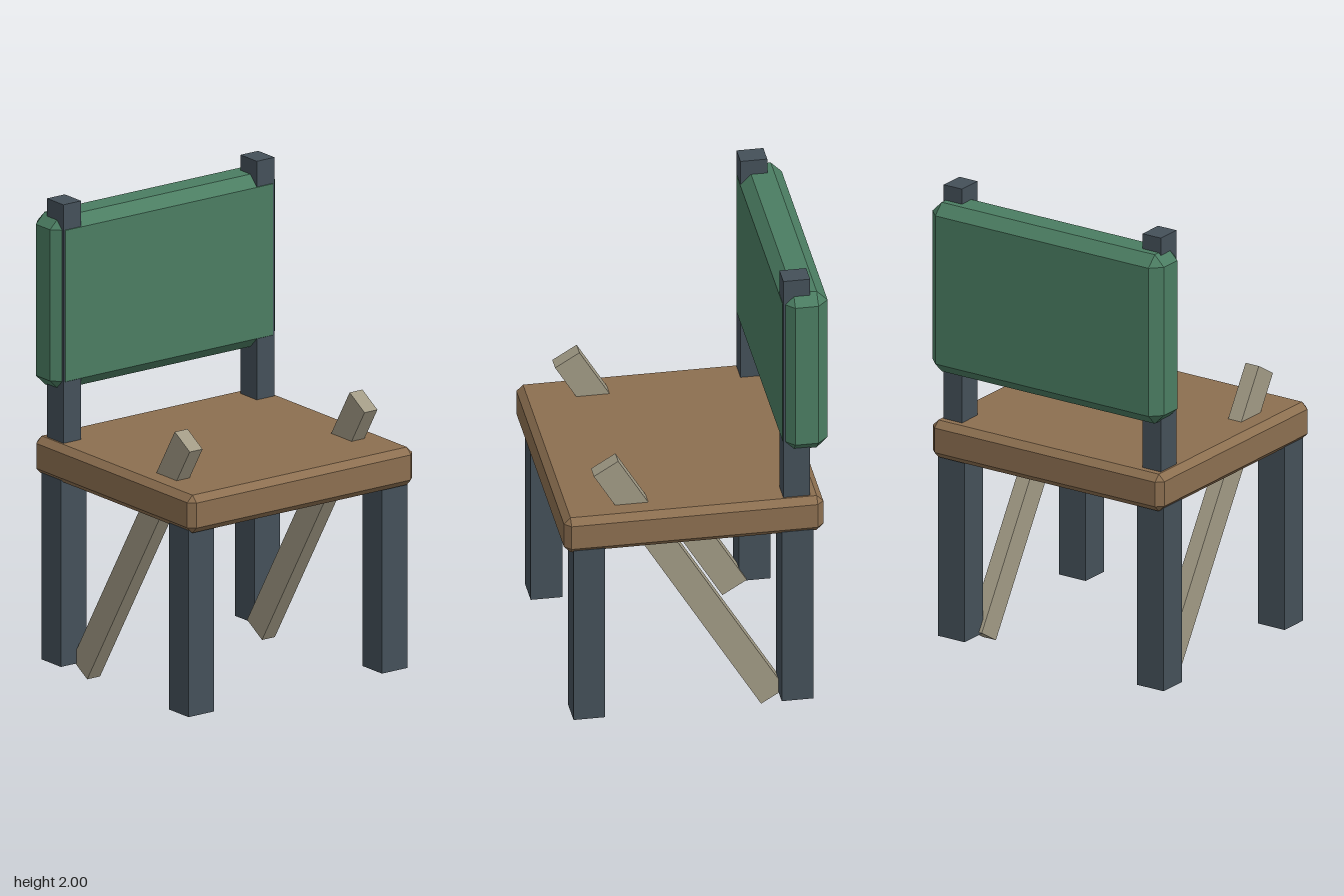
import * as THREE from 'three';
import { ConvexGeometry } from 'three/addons/geometries/ConvexGeometry.js';

const paint = (color) => new THREE.MeshStandardMaterial({ color, flatShading: true });

// Box with flat chamfers of size c on all edges and corners
function chamferBox(w, h, d, c) {
  const points = [];
  for (const sx of [-1, 1]) for (const sy of [-1, 1]) for (const sz of [-1, 1]) {
    for (let axis = 0; axis < 3; axis++) {
      const inset = [c, c, c];
      inset[axis] = 0;
      points.push(new THREE.Vector3(
        sx * (w / 2 - inset[0]), sy * (h / 2 - inset[1]), sz * (d / 2 - inset[2])));
    }
  }
  return new ConvexGeometry(points);
}

export function createModel() {
  const chair = new THREE.Group();
  chair.name = 'chair';
  const wood = paint(0x8c6f50), cushion = paint(0x4b7d62);
  const slate = paint(0x445059), pale = paint(0xa19a85);

  const add = (name, geometry, material, x, y, z) => {
    const mesh = new THREE.Mesh(geometry, material);
    mesh.name = name;
    mesh.position.set(x, y, z);
    chair.add(mesh);
    return mesh;
  };

  // Seat slab and back panel
  add('seat', chamferBox(1.14, 0.16, 1.065, 0.027), wood, 0, 0.91, 0.01);
  add('backrest', chamferBox(1.14, 0.73, 0.185, 0.045), cushion, 0, 1.57, -0.451);

  const leg = new THREE.BoxGeometry(0.13, 0.79, 0.13);
  const post = new THREE.BoxGeometry(0.09, 1.1, 0.11);
  const brace = new THREE.BoxGeometry(0.065, 1.325, 0.117);

  for (const [side, s] of [['left', 1], ['right', -1]]) {
    // Legs
    add(side + 'FrontLeg', leg, slate, s * 0.49, 0.445, 0.44);
    add(side + 'RearLeg', leg, slate, s * 0.49, 0.445, -0.415);
    // Back post
    add(side + 'BackPost', post, slate, s * 0.49, 1.45, -0.415);
    // Slanted brace passing through the seat
    add(side + 'Brace', brace, pale, s * 0.443, 0.597, 0.014).rotation.x = 0.545;
  }
  return chair;
}
